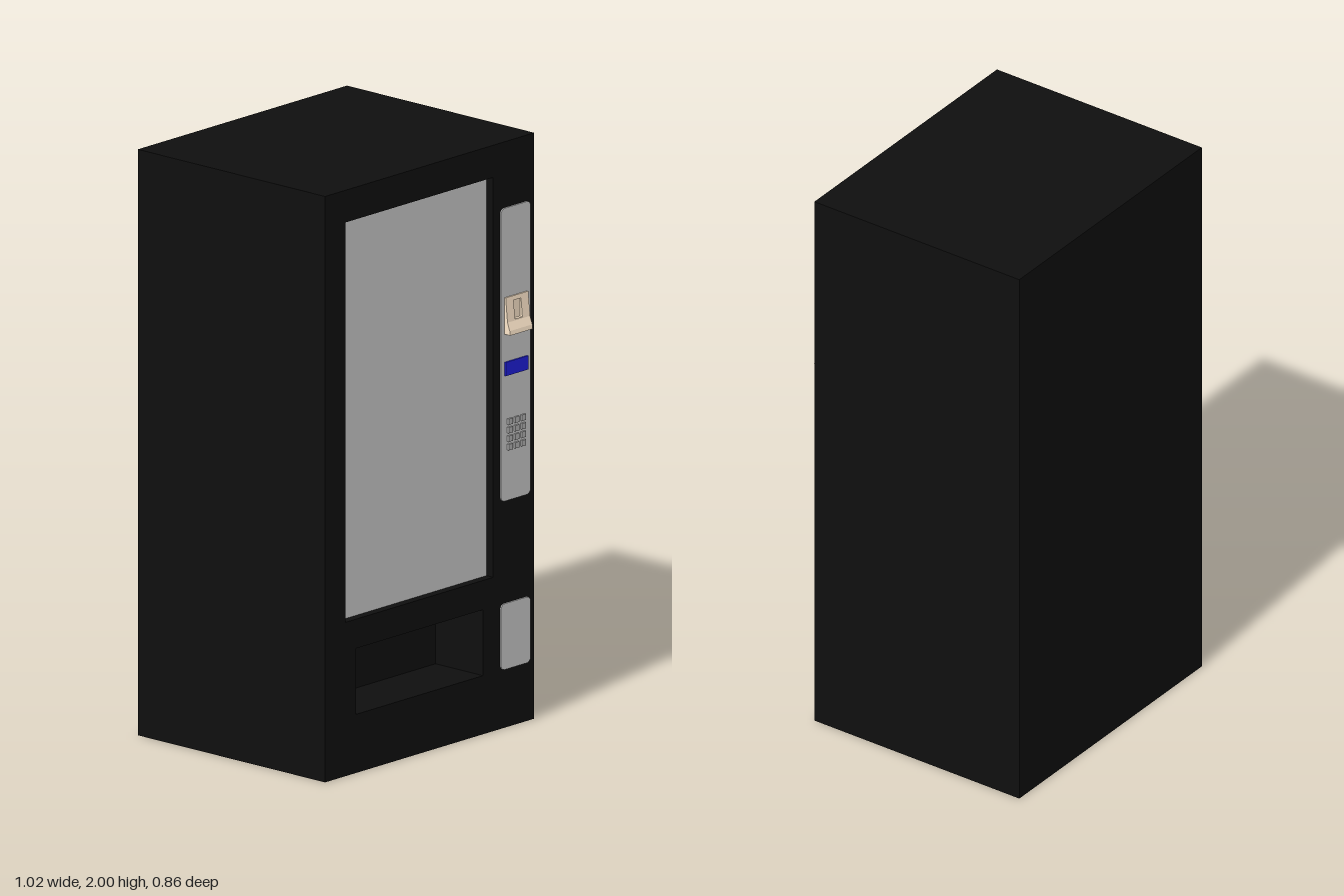
import * as THREE from 'three';

const mat = (color) => new THREE.MeshStandardMaterial({ color });

// Rectangle given by its edges, drawn as a Shape or Path
function rect(path, x0, x1, y0, y1) {
  path.moveTo(x0, y0);
  path.lineTo(x1, y0);
  path.lineTo(x1, y1);
  path.lineTo(x0, y1);
  path.closePath();
  return path;
}

function roundedRect(x0, x1, y0, y1, r) {
  const s = new THREE.Shape();
  s.absarc(x1 - r, y1 - r, r, 0, Math.PI / 2);
  s.absarc(x0 + r, y1 - r, r, Math.PI / 2, Math.PI);
  s.absarc(x0 + r, y0 + r, r, Math.PI, Math.PI * 1.5);
  s.absarc(x1 - r, y0 + r, r, Math.PI * 1.5, Math.PI * 2);
  s.closePath();
  return s;
}

export function createModel() {
  const group = new THREE.Group();
  const black = mat(0x0f0f0f), grey = mat(0xcccccc), keyGrey = mat(0xb4b4b4);
  const beige = mat(0xffe8cc), blue = mat(0x1f1fdd);

  const add = (name, geometry, material, parent = group) => {
    const mesh = new THREE.Mesh(geometry, material);
    mesh.name = name;
    parent.add(mesh);
    return mesh;
  };
  // Box given by its edges
  const box = (name, x0, x1, y0, y1, z0, z1, material, parent) =>
    add(name, new THREE.BoxGeometry(x1 - x0, y1 - y0, z1 - z0), material, parent)
      .position.set((x0 + x1) / 2, (y0 + y1) / 2, (z0 + z1) / 2);

  const FRONT = 0.4, RECESS = 0.19;

  // Cabinet: solid rear, front section pierced by window and delivery bin
  box('cabinetRear', -0.51, 0.51, 0, 2, -0.43, RECESS, black);
  const face = rect(new THREE.Shape(), -0.51, 0.51, 0, 2);
  face.holes.push(
    rect(new THREE.Path(), -0.41, 0.31, 0.525, 1.89),
    rect(new THREE.Path(), -0.36, 0.26, 0.2, 0.425)
  );
  add('cabinetFront', new THREE.ExtrudeGeometry(face, { depth: FRONT - RECESS, bevelEnabled: false }), black)
    .position.z = RECESS;

  // Window pane set slightly back
  box('window', -0.41, 0.31, 0.525, 1.89, 0.36, 0.37, grey);

  // Control panel and coin return panel
  for (const [name, y0, y1] of [['controlPanel', 0.775, 1.775], ['coinReturnPanel', 0.2, 0.425]]) {
    const shape = roundedRect(0.343, 0.487, y0, y1, 0.018);
    add(name, new THREE.ExtrudeGeometry(shape, { depth: 0.005, bevelEnabled: false, curveSegments: 5 }), grey)
      .position.z = FRONT;
  }

  // Bill acceptor: side profile swept in x, the middle third notched for the slot
  const acceptor = new THREE.Group();
  acceptor.name = 'billAcceptor';
  group.add(acceptor);
  const full = [[0.4, 1.345], [0.43, 1.345], [0.428, 1.36], [0.418, 1.387], [0.41, 1.47], [0.4, 1.47]];
  const notched = [...full.slice(0, 4), [0.418, 1.392], [0.406, 1.392], [0.406, 1.455], [0.4115, 1.455], ...full.slice(4)];
  for (const [name, x0, x1, profile] of [
    ['acceptorRight', 0.36, 0.397, full],
    ['acceptorSlot', 0.397, 0.433, notched],
    ['acceptorLeft', 0.433, 0.47, full],
  ]) {
    const shape = new THREE.Shape(profile.map(([z, y]) => new THREE.Vector2(-z, y)));
    const geometry = new THREE.ExtrudeGeometry(shape, { depth: x1 - x0, bevelEnabled: false });
    geometry.rotateY(Math.PI / 2);
    add(name, geometry, beige, acceptor).position.x = x0;
  }

  // Display
  box('display', 0.36, 0.47, 1.203, 1.25, FRONT, 0.411, blue);

  // Keypad, three columns by four rows
  const keypad = new THREE.Group();
  keypad.name = 'keypad';
  group.add(keypad);
  for (let row = 0; row < 4; row++) {
    for (let col = 0; col < 3; col++) {
      const x = 0.383 + col * 0.032, y = 1.044 - row * 0.029;
      box('key', x - 0.01, x + 0.01, y - 0.01, y + 0.01, FRONT, 0.412, keyGrey, keypad);
    }
  }

  return group;
}
